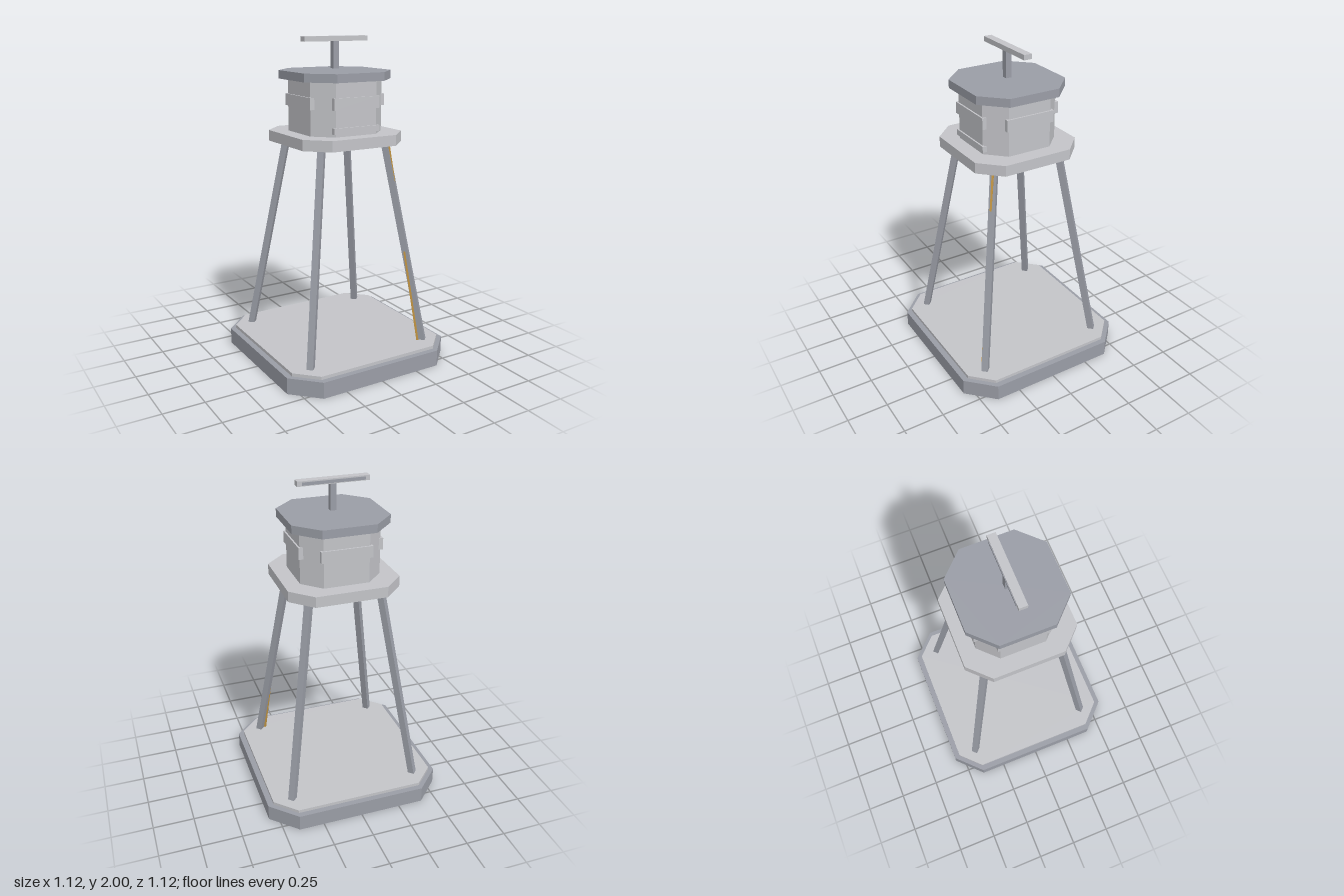
import * as THREE from 'three';

const mat = (name, color) => {
  const m = new THREE.MeshStandardMaterial({ color });
  m.name = name;
  return m;
};

export function createModel() {
  const group = new THREE.Group();
  const light = mat('lightGrey', 0xc3c4c8);
  const steel = mat('steelGrey', 0x9a9da6);
  const amber = mat('amber', 0xc89a45);

  const add = (name, geo, material) => {
    const mesh = new THREE.Mesh(geo, material);
    mesh.name = name;
    group.add(mesh);
    return mesh;
  };

  // Square slab with chamfered corners: h = half width, c = where the corner cut starts
  const slab = (name, h, c, y0, y1, material) => {
    const pts = [[h, -c], [h, c], [c, h], [-c, h], [-h, c], [-h, -c], [-c, -h], [c, -h]];
    const shape = new THREE.Shape(pts.map(([x, y]) => new THREE.Vector2(x, y)));
    const geo = new THREE.ExtrudeGeometry(shape, { depth: y1 - y0, bevelEnabled: false });
    geo.rotateX(-Math.PI / 2);
    geo.translate(0, y0, 0);
    return add(name, geo, material);
  };

  // Axis-aligned box given by its limits
  const box = (name, x0, x1, y0, y1, z0, z1, material) => {
    const geo = new THREE.BoxGeometry(x1 - x0, y1 - y0, z1 - z0);
    geo.translate((x0 + x1) / 2, (y0 + y1) / 2, (z0 + z1) / 2);
    return add(name, geo, material);
  };

  // Square bar, turned 45 degrees and sheared so both ends stay level
  const strut = (name, a, b, width, material) => {
    const geo = new THREE.BoxGeometry(width, 1, width);
    geo.rotateY(Math.PI / 4);
    const p = geo.attributes.position;
    for (let i = 0; i < p.count; i++) {
      const t = p.getY(i) + 0.5;
      p.setXYZ(i,
        p.getX(i) + a[0] + (b[0] - a[0]) * t,
        a[1] + (b[1] - a[1]) * t,
        p.getZ(i) + a[2] + (b[2] - a[2]) * t);
    }
    const flat = geo.toNonIndexed();
    flat.computeVertexNormals();
    return add(name, flat, material);
  };

  // Base
  slab('base', 0.56, 0.405, 0, 0.1, steel);
  slab('baseDeck', 0.525, 0.4, 0.1, 0.12, light);

  // Four splayed legs
  for (const sx of [-1, 1]) {
    for (const sz of [-1, 1]) {
      strut('leg', [sx * 0.405, 0.12, sz * 0.405], [sx * 0.22, 1.37, sz * 0.22], 0.04, steel);
    }
  }
  // Cable running down the front left leg
  strut('cable', [0.369, 0.12, 0.405], [0.236, 1.37, 0.237], 0.012, amber);

  // Platform, cabin and roof
  slab('platform', 0.342, 0.217, 1.37, 1.435, light);
  slab('cabin', 0.246, 0.138, 1.435, 1.75, light);
  slab('roof', 0.296, 0.16, 1.75, 1.8, steel);

  // Window bands on the four main walls
  for (let i = 0; i < 4; i++) {
    const band = box('windowBand', -0.155, 0.155, 1.59, 1.66, 0.225, 0.256, light);
    band.rotation.y = i * Math.PI / 2;
  }
  // Sill strip low on the front wall
  box('frontSill', -0.155, 0.155, 1.452, 1.488, 0.225, 0.256, light);

  // Mast and scanner bar
  box('mast', -0.018, 0.018, 1.81, 1.97, -0.018, 0.018, steel);
  box('scannerBar', -0.218, 0.218, 1.97, 2, -0.025, 0.025, light);
  box('scannerFace', -0.19, 0.19, 1.975, 1.993, -0.029, -0.025, steel);

  return group;
}
